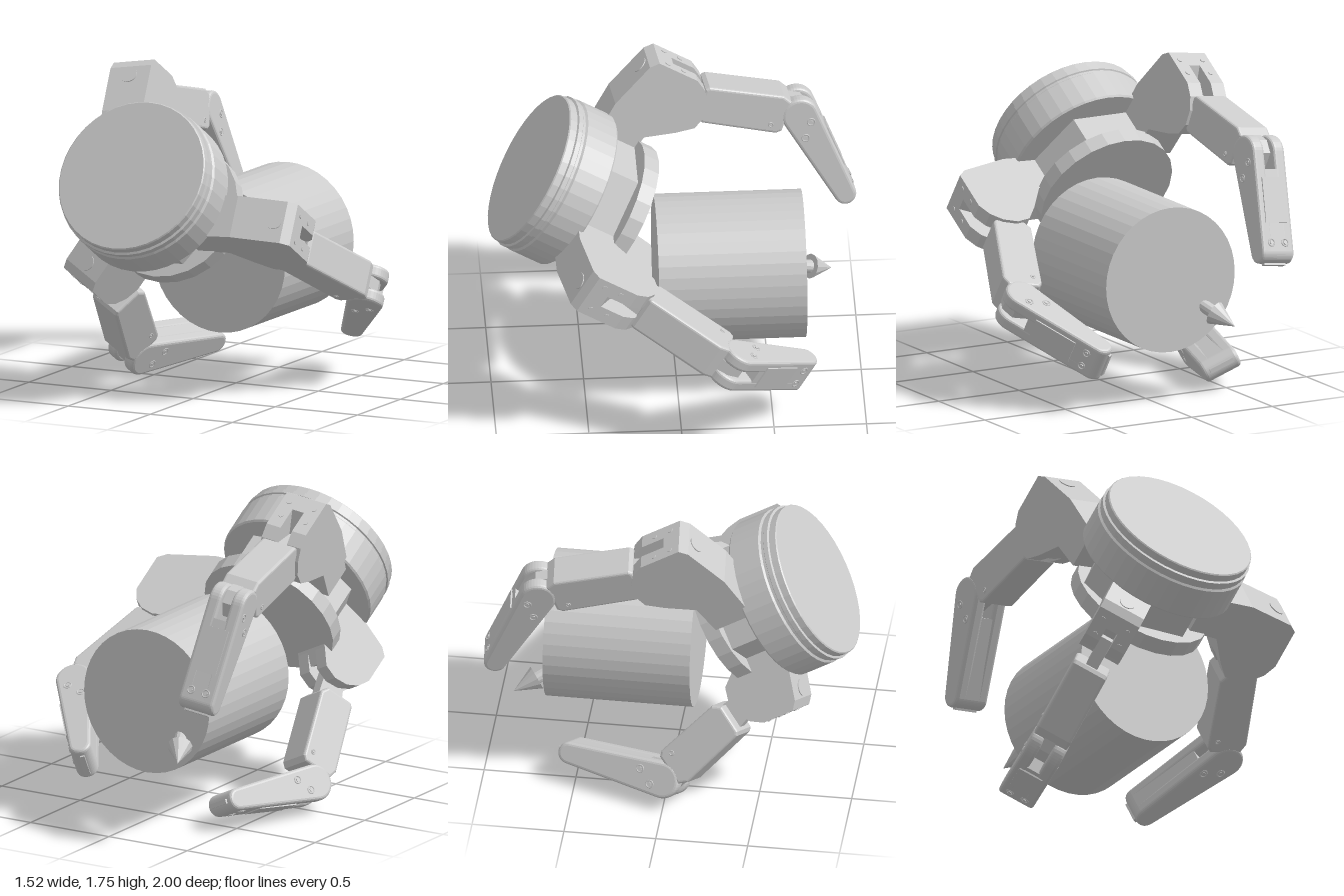
import * as THREE from 'three';

const grey = new THREE.MeshStandardMaterial({ color: 0xcccccc });
const faceted = new THREE.MeshStandardMaterial({ color: 0xcccccc, flatShading: true });

function add(parent, name, geometry, material = faceted, x = 0, y = 0, z = 0) {
  const mesh = new THREE.Mesh(geometry, material);
  mesh.name = name;
  mesh.position.set(x, y, z);
  parent.add(mesh);
  return mesh;
}

// Extrudes a side profile to a full width, centred on z, with softened edges
function slab(shape, width, bevel) {
  const g = new THREE.ExtrudeGeometry(shape, {
    depth: width - 2 * bevel, curveSegments: 10, bevelEnabled: bevel > 0,
    bevelThickness: bevel, bevelSize: bevel, bevelOffset: -bevel, bevelSegments: 3,
  });
  return g.translate(0, 0, -width / 2 + bevel);
}

const polygon = (pts) => new THREE.Shape(pts.map(([x, y]) => new THREE.Vector2(x, y)));

// Tapered outline with a round knuckle at the origin and a round tip
function tipOutline(length, start = null) {
  const R = 0.1, r = 0.06, end = length - r;
  const s = new THREE.Shape();
  if (start === null) s.absarc(0, 0, R, Math.PI * 0.47, Math.PI * 1.53, false);
  else {
    s.moveTo(start, R - 0.012);
    s.lineTo(start, -R + 0.012);
  }
  s.absarc(end, -0.01, r, -Math.PI * 0.47, Math.PI * 0.47, false);
  s.closePath();
  return s;
}

function screw(parent, x, y, z, axis, radius = 0.02) {
  const ring = add(parent, 'screw', new THREE.TorusGeometry(radius, 0.004, 6, 16), grey, x, y, z);
  const head = add(parent, 'screwHead', new THREE.CylinderGeometry(radius * 0.55, radius * 0.55, 0.01, 6), faceted, x, y, z);
  if (axis === 'y') ring.rotation.x = Math.PI / 2;
  else head.rotation.x = Math.PI / 2;
}

// Base housing: two cheeks around a shorter core, leaving a slot for the link
function housing(lift) {
  const g = new THREE.Group();
  g.name = 'housing';
  const front = [[0.22, -0.27], [0.507, -0.266], [0.78, -0.325], [0.825, -0.36]];
  const raise = (pts) => pts.map(([x, y]) => [x, y + lift]);
  const root = [...raise([[0.5, -0.65]]), [0.4, -0.51], [0.22, -0.5]];
  const cheek = polygon([...front, ...raise([[0.825, -0.6], [0.79, -0.67], [0.73, -0.72], [0.65, -0.745],
    [0.57, -0.73]]), ...root]);
  const core = polygon([...front, [0.825, -0.46], ...raise([[0.7, -0.53], [0.56, -0.7]]), ...root]);
  for (const s of [-1, 1]) {
    add(g, 'housingCheek', slab(cheek, 0.085, 0), faceted, 0, 0, s * 0.0775);
    for (const y of [-0.42, -0.52]) {
      const bolt = add(g, 'housingBolt', new THREE.CylinderGeometry(0.015, 0.015, 0.008, 12), grey, 0.825, y, s * 0.075);
      bolt.rotation.z = Math.PI / 2;
    }
  }
  add(g, 'housingCore', slab(core, 0.07, 0));
  const port = add(g, 'housingPort', new THREE.CylinderGeometry(0.045, 0.045, 0.01, 24), grey, 0.725, -0.313, 0);
  port.rotation.z = -0.213;
  return g;
}

// A finger in its own plane: x runs outwards from the palm, y along the palm axis
function finger(name, [reach, lift], knuckle, elbow, tip) {
  const g = new THREE.Group();
  g.name = name;
  const base = housing(lift);
  base.position.x = reach;
  g.add(base);

  // Middle link with a narrow tongue at both joints
  const [kx, ky] = knuckle, [ex, ey] = elbow, [tx, ty] = tip;
  const link = new THREE.Group();
  link.name = 'middleLink';
  link.position.set(kx, ky, 0);
  link.rotation.z = Math.atan2(ey - ky, ex - kx);
  g.add(link);
  const L = Math.hypot(ex - kx, ey - ky);
  add(link, 'linkBody', slab(polygon([[0.11, 0.09], [0.13, 0.105], [L - 0.11, 0.105], [L - 0.06, 0.075],
    [L - 0.08, -0.1], [L - 0.11, -0.12], [0.13, -0.11], [0.09, -0.07]]), 0.205, 0.015));
  add(link, 'linkTongue', slab(polygon([[-0.06, 0.05], [0.14, 0.075], [L, 0.08], [L + 0.06, 0.03],
    [L + 0.05, -0.06], [0.14, -0.085], [-0.06, -0.07]]), 0.068, 0));
  for (const s of [-1, 1]) screw(link, L - 0.15, -0.07, s * 0.102, 'z', 0.012);

  // Fingertip: forked knuckle, tapered body, inset panel and screws
  const end = new THREE.Group();
  end.name = 'fingertip';
  end.position.set(ex, ey, 0);
  end.rotation.z = Math.atan2(ty - ey, tx - ex);
  g.add(end);
  const T = Math.hypot(tx - ex, ty - ey);
  for (const s of [-1, 1]) {
    add(end, 'fingertipCheek', slab(tipOutline(T), 0.075, 0.018), grey, 0, 0, s * 0.068);
    screw(end, 0.06, 0.035, s * 0.105, 'z');
    screw(end, 0.13, -0.035, s * 0.105, 'z');
  }
  add(end, 'fingertipCore', slab(tipOutline(T, 0.11), 0.12, 0));
  const panel = add(end, 'fingertipPanel', new THREE.BoxGeometry(0.25, 0.01, 0.14), faceted, 0.28, 0.076, 0);
  panel.rotation.z = -0.1;
  for (const s of [-1, 1]) screw(end, T - 0.1, 0.055, s * 0.045, 'y');
  add(end, 'fingertipNail', new THREE.BoxGeometry(0.03, 0.025, 0.14), faceted, T - 0.005, -0.015, 0);
  return g;
}

export function createModel() {
  const model = new THREE.Group();
  model.name = 'gripperHoldingCylinder';

  // Palm: local y is the palm axis, pointing out of the round cover
  const palm = new THREE.Group();
  palm.name = 'palm';
  palm.position.set(-0.228, 1.242, 0.783);
  palm.rotation.x = 1.024;
  model.add(palm);
  const profile = [[0, -0.295], [0.437, -0.295], [0.445, -0.285], [0.445, -0.105], [0.435, -0.095], [0.435, -0.08],
    [0.442, -0.075], [0.442, -0.05], [0.43, -0.045], [0.43, -0.006], [0.424, 0], [0, 0]];
  add(palm, 'palmCover', new THREE.LatheGeometry(profile.map(([x, y]) => new THREE.Vector2(x, y)), 40));
  const core = add(palm, 'palmCore', new THREE.CylinderGeometry(0.35, 0.35, 0.28, 6), faceted, 0, -0.4, 0);
  core.rotation.y = Math.PI / 6;
  add(palm, 'palmPlate', new THREE.CylinderGeometry(0.39, 0.39, 0.09, 24), faceted, 0.02, -0.54, 0);

  // Three fingers around the palm: angle, side offset, housing shift and lift, then the joints
  const fingers = [
    ['upperFinger', 100, -0.215, [0, 0], [0.67, -0.6], [0.88, -1.22], [0.556, -1.74]],
    ['leftFinger', 3, 0.11, [0.015, 0], [0.65, -0.62], [0.885, -1.27], [0.59, -1.77]],
    ['lowerFinger', -120, 0.055, [-0.22, 0.055], [0.475, -0.64], [0.68, -1.24], [0.325, -1.74]],
  ];
  for (const [name, angle, offset, ...shape] of fingers) {
    const holder = new THREE.Group();
    holder.name = name + 'Mount';
    holder.rotation.y = THREE.MathUtils.degToRad(angle);
    const f = finger(name, ...shape);
    f.position.z = offset;
    holder.add(f);
    palm.add(holder);
  }

  // Held cylinder
  const held = add(model, 'heldCylinder', new THREE.CylinderGeometry(0.4, 0.4, 0.8, 40), faceted, -0.045, 0.68, -0.29);
  held.rotation.x = Math.PI / 2;

  // Arrow leaving the far side of the cylinder
  const arrow = new THREE.Group();
  arrow.name = 'arrow';
  const from = new THREE.Vector3(-0.06, 0.7, -0.29), to = new THREE.Vector3(-0.35, 0.42, -0.86);
  const length = from.distanceTo(to);
  arrow.position.copy(from);
  arrow.quaternion.setFromUnitVectors(new THREE.Vector3(0, 1, 0), to.clone().sub(from).normalize());
  add(arrow, 'arrowShaft', new THREE.CylinderGeometry(0.035, 0.035, length - 0.14, 12), faceted, 0, (length - 0.14) / 2, 0);
  add(arrow, 'arrowHead', new THREE.ConeGeometry(0.068, 0.145, 12), faceted, 0, length - 0.0725, 0);
  model.add(arrow);
  return model;
}
